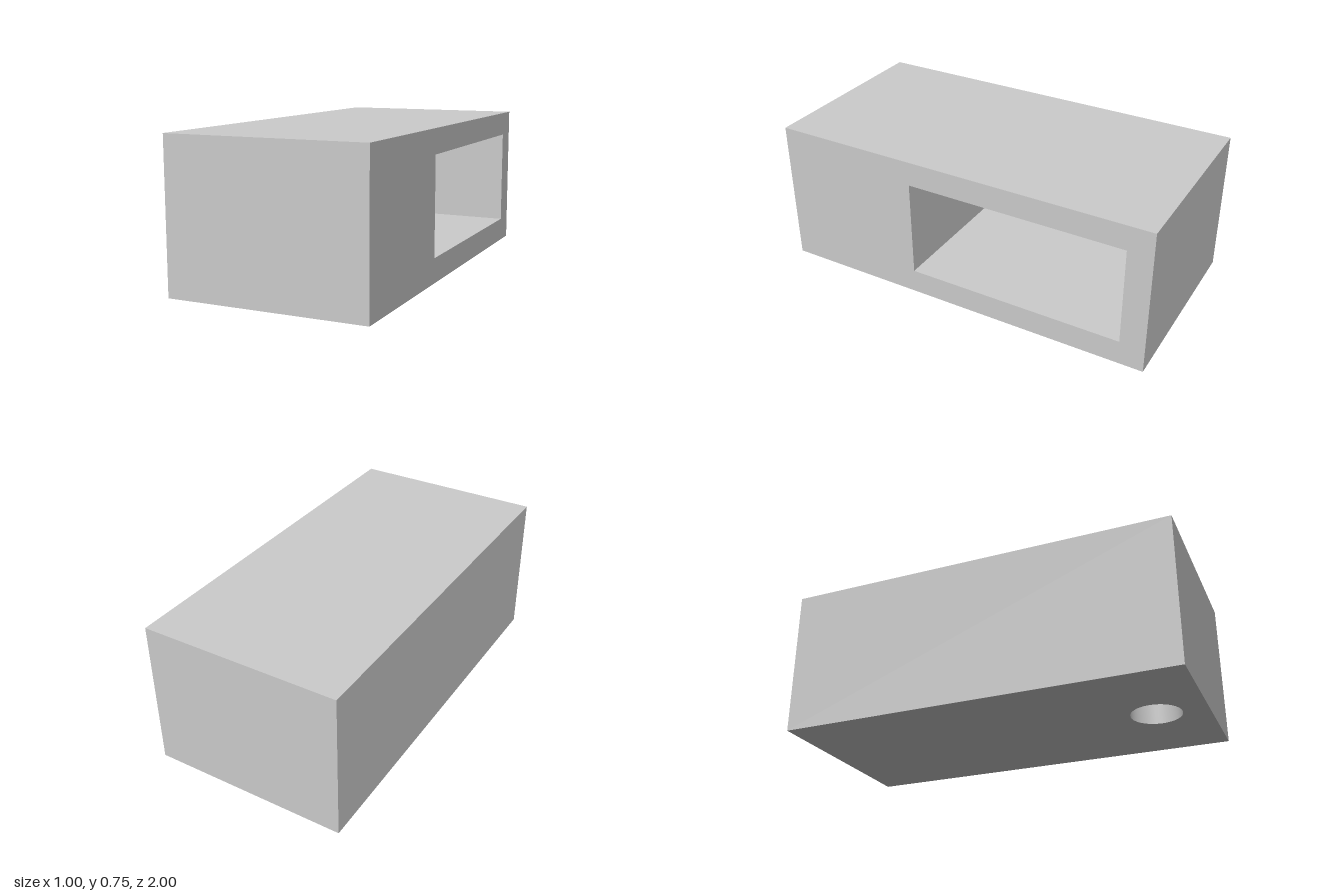
import * as THREE from 'three';
import { mergeGeometries } from 'three/addons/utils/BufferGeometryUtils.js';

const W = 1, H = 0.75, L = 2, T = 0.125; // block size and wall thickness
const Q = Math.PI / 2;

// Rectangle centred on its origin, facing +z, with an optional cut-out,
// then turned about x and y and moved into place.
function panel(w, h, [rx, ry], [x, y, z], hole) {
  const s = new THREE.Shape([[-1, -1], [1, -1], [1, 1], [-1, 1]]
    .map(([a, b]) => new THREE.Vector2(a * w / 2, b * h / 2)));
  if (hole) s.holes.push(hole);
  return new THREE.ShapeGeometry(s, 24).rotateX(rx).rotateY(ry).translate(x, y, z);
}

export function createModel() {
  const group = new THREE.Group();
  const mat = new THREE.MeshStandardMaterial({ color: 0xcccccc });
  const inside = new THREE.MeshStandardMaterial({ color: 0xcccccc, side: THREE.BackSide });
  const add = (name, geo, m = mat) => {
    const mesh = new THREE.Mesh(geo, m);
    mesh.name = name;
    group.add(mesh);
  };

  // Pocket extents, open towards +x
  const z0 = -L / 2 + T, z1 = 0.25, y0 = T, y1 = H - T, x0 = -W / 2 + T, x1 = W / 2;
  const pw = x1 - x0, ph = y1 - y0, pl = z1 - z0;
  const cx = (x0 + x1) / 2, cy = H / 2, cz = (z0 + z1) / 2;

  // Side window and underside hole as cut-outs
  const windowCut = new THREE.Path([[-z1, -ph / 2], [-z1, ph / 2], [-z0, ph / 2], [-z0, -ph / 2]]
    .map(p => new THREE.Vector2(...p)));
  const holeR = 0.125, holeZ = 0.75, holeDepth = 0.125;
  const roundCut = new THREE.Path().absarc(0, holeZ, holeR, 0, Math.PI * 2, true);

  // Outer block
  add('block', mergeGeometries([
    panel(W, H, [0, 0], [0, cy, L / 2]),
    panel(W, H, [0, 2 * Q], [0, cy, -L / 2]),
    panel(L, H, [0, -Q], [-W / 2, cy, 0]),
    panel(L, H, [0, Q], [W / 2, cy, 0], windowCut),
    panel(W, L, [-Q, 0], [0, H, 0]),
    panel(W, L, [Q, 0], [0, 0, 0], roundCut),
  ]));

  // Rectangular pocket behind the window
  add('sidePocket', mergeGeometries([
    panel(pw, pl, [-Q, 0], [cx, y0, cz]),
    panel(pw, pl, [Q, 0], [cx, y1, cz]),
    panel(pw, ph, [0, 0], [cx, cy, z0]),
    panel(pw, ph, [0, 2 * Q], [cx, cy, z1]),
    panel(pl, ph, [0, Q], [x0, cy, cz]),
  ]));

  // Blind round hole in the underside
  add('holeWall', new THREE.CylinderGeometry(holeR, holeR, holeDepth, 48, 1, true)
    .translate(0, holeDepth / 2, holeZ), inside);
  add('holeEnd', new THREE.CircleGeometry(holeR, 48).rotateX(Q).translate(0, holeDepth, holeZ));

  return group;
}
